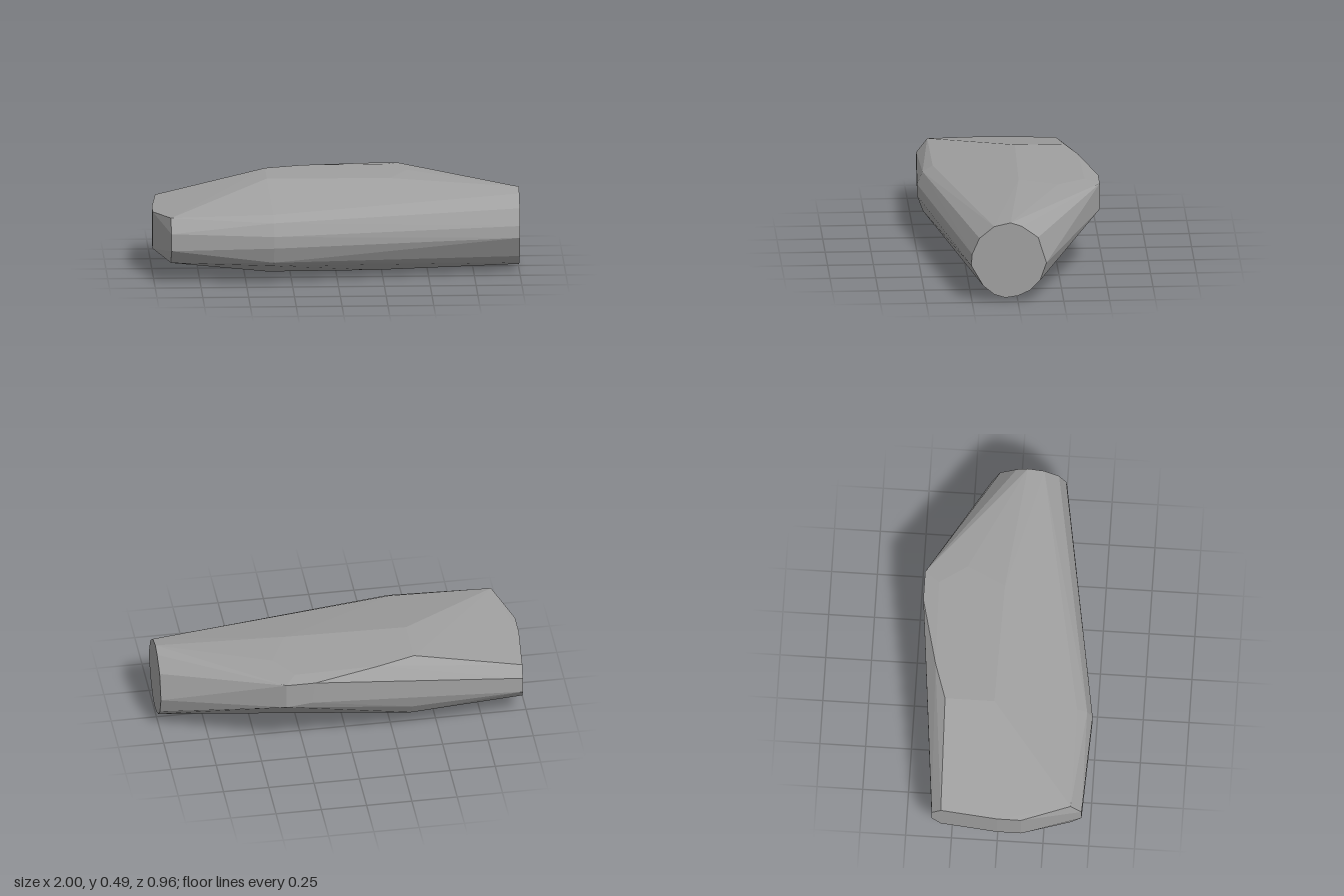
import * as THREE from 'three';
import { ConvexGeometry } from 'three/addons/geometries/ConvexGeometry.js';

// Faceted stone: cross-sections along x, wrapped by one convex skin
export function createModel() {
  const group = new THREE.Group();
  const stone = new THREE.MeshStandardMaterial({ color: 0xa0a0a0, flatShading: true });
  stone.name = 'stone grey';

  // Round flat end at +x, as [z, y] pairs
  const roundEnd = [
    [0.04, 0.45], [-0.02, 0.43], [-0.11, 0.365], [-0.155, 0.22], [-0.12, 0.12],
    [-0.065, 0.065], [0, 0.035], [0.07, 0.025], [0.13, 0.045], [0.19, 0.095],
    [0.255, 0.21], [0.25, 0.275], [0.21, 0.365], [0.13, 0.43],
  ].map(([z, y]) => [1, y, z]);

  // Wide middle section, front and lower back
  const middle = [
    [0.395, 0.095], [0.45, 0.125], [0.48, 0.21], [0.48, 0.275], [0.45, 0.345], [0.395, 0.38],
    [-0.305, 0.095], [-0.35, 0.125], [-0.4, 0.2],
  ].map(([z, y]) => [-0.35, y, z]);

  // Flat top and narrow flat underside
  const plateaus = [
    [-0.37, 0.485, -0.055], [-0.37, 0.485, -0.325], [-0.17, 0.485, -0.39],
    [0.4, 0.485, -0.25], [0.3, 0.485, -0.04], [0.3, 0.485, -0.4],
    [-0.37, 0, 0.1], [-0.37, 0, -0.02], [0.22, 0.004, 0.1], [0.22, 0.004, -0.01],
  ];

  // Blunt point at the back
  const backPoint = [
    [0.2, 0.475, -0.48], [0.36, 0.475, -0.48], [0.36, 0.33, -0.48], [0.22, 0.345, -0.48],
  ];

  // Tapered end at -x
  const taperedEnd = [
    [-1, 0.345, 0], [-1, 0.345, 0.13], [-1, 0.14, 0], [-1, 0.14, 0.13],
    [-0.91, 0.367, 0.395], [-0.91, 0.29, 0.455], [-0.91, 0.195, 0.455], [-0.91, 0.117, 0.395],
    [-0.97, 0.345, -0.31], [-0.965, 0.29, -0.36], [-0.965, 0.2, -0.36], [-0.97, 0.14, -0.31],
  ];

  const points = [...roundEnd, ...middle, ...plateaus, ...backPoint, ...taperedEnd]
    .map((p) => new THREE.Vector3(...p));
  const body = new THREE.Mesh(new ConvexGeometry(points), stone);
  body.name = 'stoneBody';
  group.add(body);
  return group;
}
